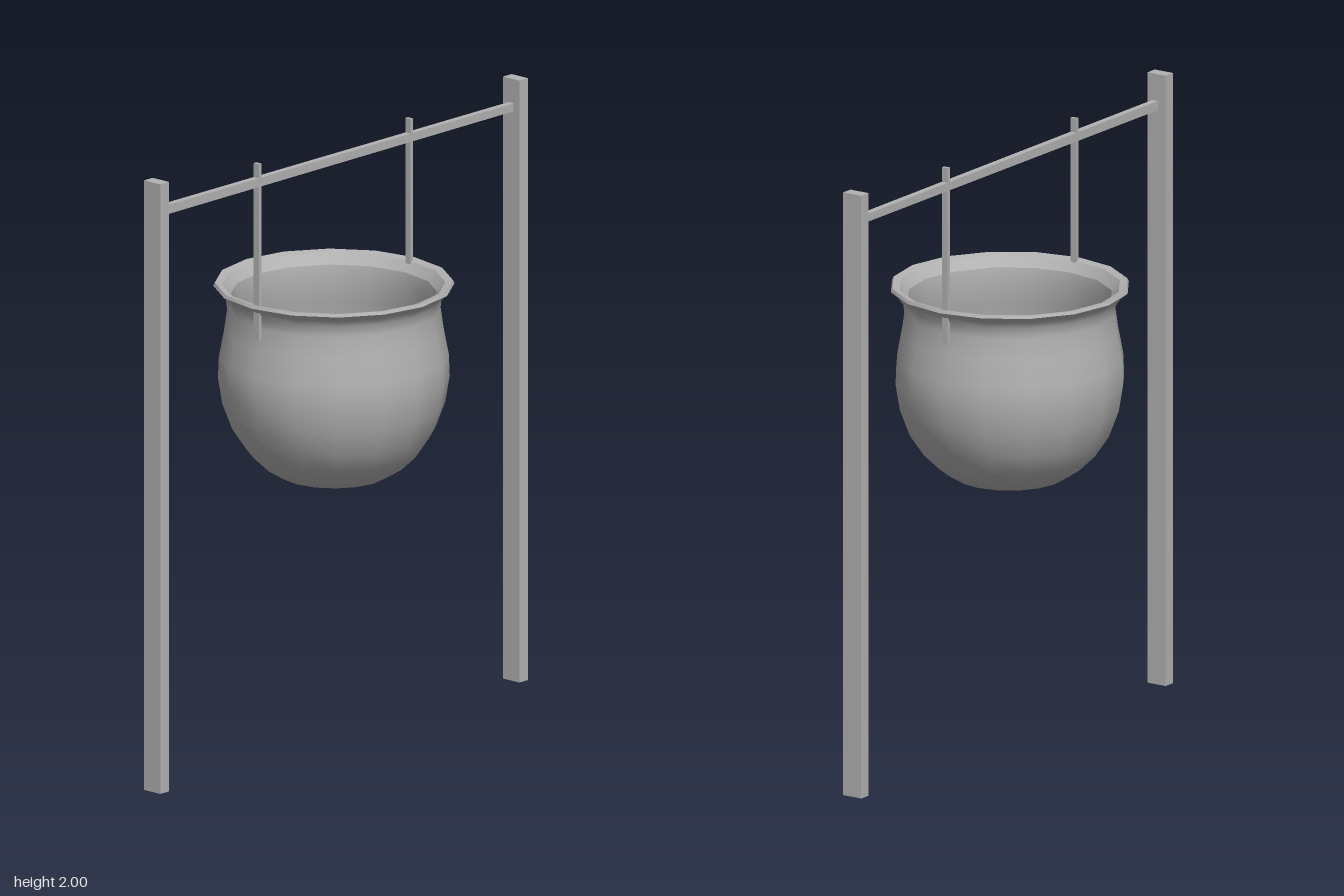
import * as THREE from 'three';

export function createModel() {
  const model = new THREE.Group();
  const iron = new THREE.MeshStandardMaterial({ color: 0xb2b2b2 });
  iron.name = 'grey iron';

  const add = (name, geometry, parent = model) => {
    const mesh = new THREE.Mesh(geometry, iron);
    mesh.name = name;
    parent.add(mesh);
    return mesh;
  };
  // Box given by its lower and upper corners
  const block = (name, [x0, y0, z0], [x1, y1, z1]) => {
    const mesh = add(name, new THREE.BoxGeometry(x1 - x0, y1 - y0, z1 - z0));
    mesh.position.set((x0 + x1) / 2, (y0 + y1) / 2, (z0 + z1) / 2);
    return mesh;
  };

  // Upright posts and the bar between them
  block('frontPost', [-0.035, 0, 0.813], [0.035, 2, 0.853]);
  block('backPost', [-0.035, 0.015, -0.853], [0.035, 1.99, -0.813]);
  const bar = block('crossBar', [-0.011, 1.885, -0.815], [0.011, 1.911, 0.805]);
  // The front end of the bar is slightly raised
  const p = bar.geometry.attributes.position;
  for (let i = 0; i < p.count; i++) if (p.getZ(i) > 0 && p.getY(i) > 0) p.setY(i, p.getY(i) + 0.004);

  // Hanger straps that hold the pot by its rim
  block('frontHanger', [-0.011, 1.38, 0.358], [0.011, 1.96, 0.37]);
  block('backHanger', [-0.011, 1.38, -0.346], [0.011, 1.96, -0.334]);

  // Pot: sixteen-sided turned shell, with separate strips where edges are sharp
  const pot = new THREE.Group();
  pot.name = 'pot';
  pot.position.z = 0.01;
  model.add(pot);
  const turned = (name, points) =>
    add(name, new THREE.LatheGeometry(points.map(([r, y]) => new THREE.Vector2(r, y)), 16), pot);

  turned('potOuterWall', [
    [0, 0.866], [0.13, 0.864], [0.17, 0.867], [0.225, 0.9], [0.275, 0.948], [0.32, 1.015],
    [0.352, 1.1], [0.366, 1.185], [0.363, 1.255], [0.347, 1.34], [0.337, 1.41],
    [0.341, 1.445], [0.357, 1.468], [0.381, 1.488],
  ]);
  turned('rimEdge', [[0.381, 1.488], [0.376, 1.498]]);
  turned('rimTop', [[0.376, 1.498], [0.352, 1.492]]);
  turned('rimInnerSlope', [[0.352, 1.492], [0.326, 1.46]]);
  turned('potInnerWall', [
    [0.326, 1.46], [0.319, 1.41], [0.329, 1.34], [0.344, 1.255], [0.347, 1.185],
    [0.333, 1.105], [0.302, 1.025], [0.258, 0.96], [0.21, 0.915], [0.16, 0.887], [0.12, 0.884], [0, 0.884],
  ]);

  return model;
}
